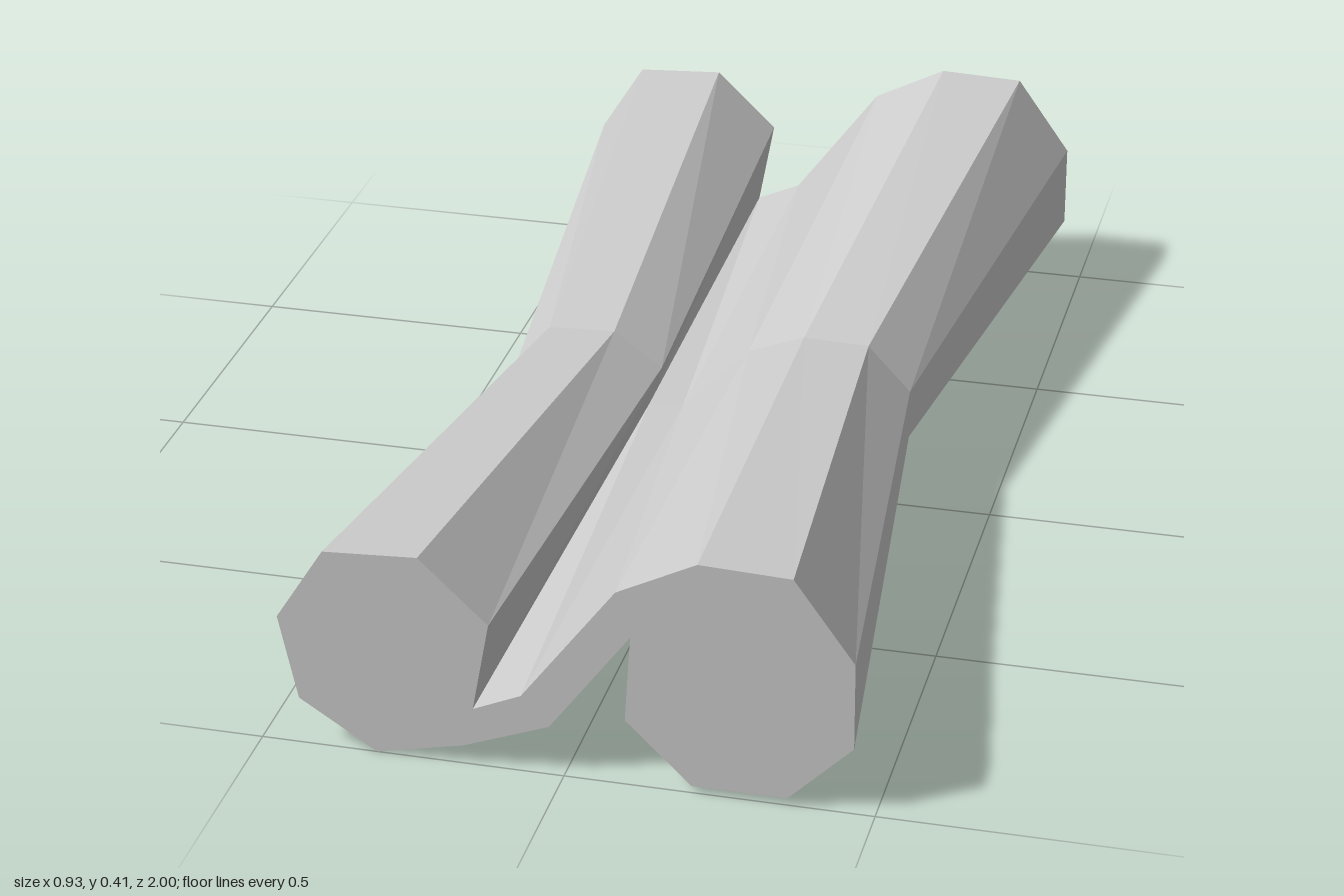
import * as THREE from 'three';

// End outline, counter-clockwise: two faceted rolls joined by a slanted web
const OUTLINE = [
  [-0.435, 0.085], [-0.308, 0.003], [-0.165, 0.035], [-0.023, 0.09],
  [0.11, 0.27], [0.1, 0.12], [0.207, 0.015], [0.36, 0.015], [0.465, 0.12],
  [0.465, 0.27], [0.367, 0.407], [0.217, 0.413], [0.087, 0.347],
  [-0.068, 0.14], [-0.147, 0.105], [-0.118, 0.26],
  [-0.23, 0.366], [-0.385, 0.357], [-0.465, 0.23],
];
const VALLEY_X = -0.147;

export function createModel() {
  const group = new THREE.Group();
  group.name = 'scrollBar';

  const shape = new THREE.Shape(OUTLINE.map(([x, y]) => new THREE.Vector2(x, y)));
  const geometry = new THREE.ExtrudeGeometry(shape, { depth: 2, steps: 2, bevelEnabled: false });
  geometry.translate(0, 0, -1);

  // Pinch the middle section into a narrow waist
  const pos = geometry.attributes.position;
  for (let i = 0; i < pos.count; i++) {
    if (Math.abs(pos.getZ(i)) > 0.01) continue;
    const x = pos.getX(i), y = pos.getY(i);
    const inValley = Math.abs(x - VALLEY_X) < 0.001;
    pos.setXY(i, 0.765 * x - 0.003, inValley ? 0.15 : 0.07 + 0.585 * y);
  }
  geometry.computeVertexNormals();

  const material = new THREE.MeshStandardMaterial({ color: 0xcccccc, flatShading: true });
  const body = new THREE.Mesh(geometry, material);
  body.name = 'doubleRollBody';
  group.add(body);
  return group;
}
